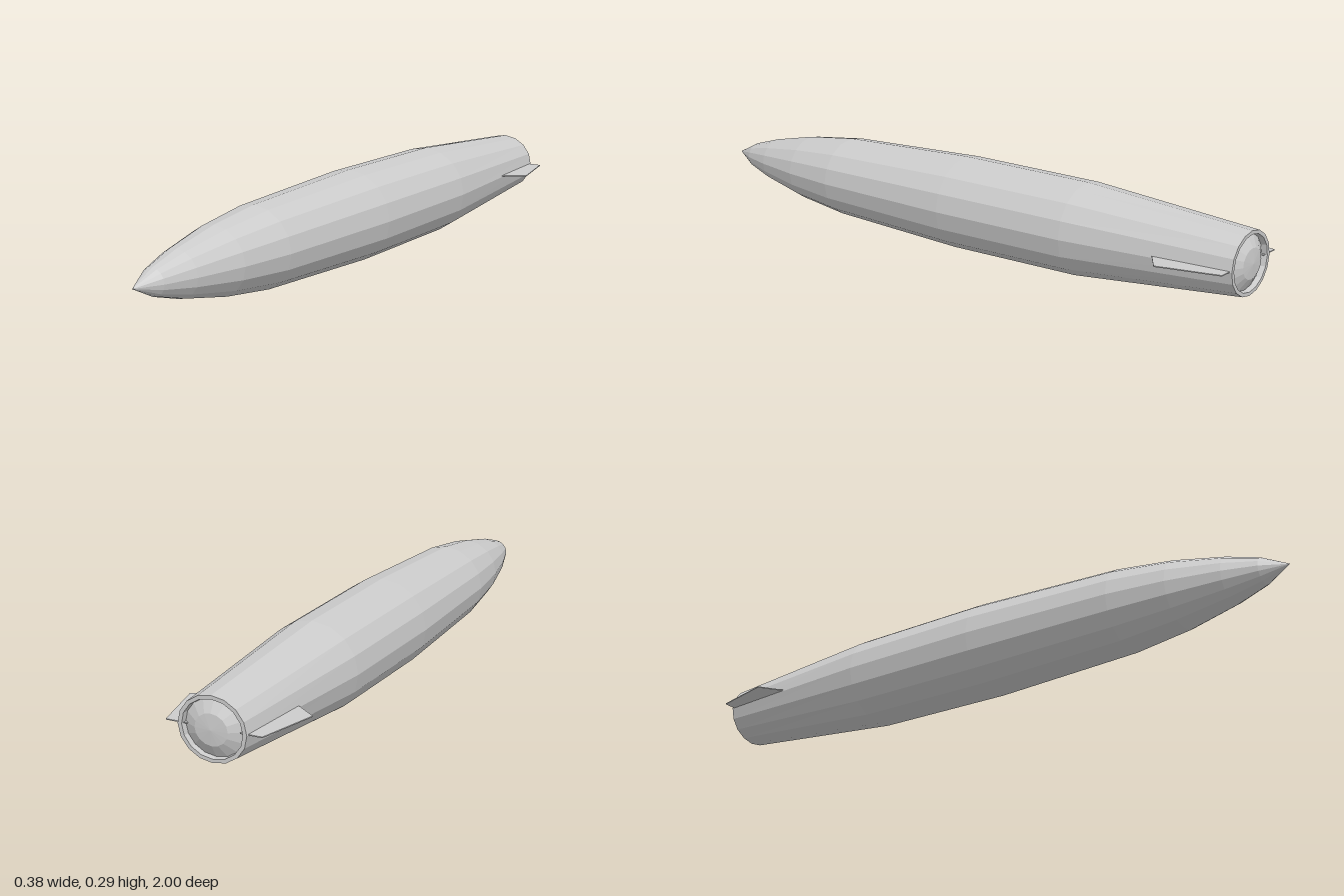
import * as THREE from 'three';

const SIDES = 16;
const material = new THREE.MeshStandardMaterial({ color: 0xcccccc, flatShading: true });
const finMaterial = new THREE.MeshStandardMaterial({ color: 0xcccccc, flatShading: true });

// Sixteen-sided lathe laid along z, slightly flattened, more so toward the tail
function hullPart(name, profile) {
  const points = profile.map(([r, z]) => new THREE.Vector2(r, z));
  const geometry = new THREE.LatheGeometry(points, SIDES).rotateX(Math.PI / 2);
  const pos = geometry.attributes.position;
  for (let i = 0; i < pos.count; i++) {
    const tail = THREE.MathUtils.clamp((-0.45 - pos.getZ(i)) / 0.54, 0, 1);
    const flatten = 0.96 - 0.06 * tail;
    pos.setY(i, 0.146 + 0.005 * tail + pos.getY(i) * flatten);
  }
  geometry.computeVertexNormals();
  const mesh = new THREE.Mesh(geometry, material);
  mesh.name = name;
  return mesh;
}

// Thin swept plate on one side of the tail
function tailFin(name, side) {
  const outline = [[0.08, -0.72], [0.113, -0.745], [0.19, -0.80], [0.145, -0.985], [0.08, -0.985]];
  const shape = new THREE.Shape(outline.map(([x, z]) => new THREE.Vector2(side * x, -z)));
  const geometry = new THREE.ExtrudeGeometry(shape, { depth: 0.003, bevelEnabled: false });
  geometry.rotateX(-Math.PI / 2).translate(0, 0.1505, 0);
  const mesh = new THREE.Mesh(geometry, finMaterial);
  mesh.name = name;
  return mesh;
}

export function createModel() {
  const model = new THREE.Group();
  model.name = 'projectile';

  // Tapered body from tail to pointed nose
  model.add(hullPart('body', [
    [0.104, -0.992], [0.146, -0.45], [0.15, 0], [0.131, 0.48],
    [0.108, 0.66], [0.073, 0.82], [0.042, 0.92], [0, 1],
  ]));

  // Tail rim and the recess wall inside it
  model.add(hullPart('tailRim', [[0.09, -0.975], [0.092, -0.992], [0.104, -0.992]]));

  // Shallow domed cap closing the tail
  model.add(hullPart('tailCap', [[0, -1], [0.05, -0.996], [0.09, -0.975]]));

  model.add(tailFin('leftFin', 1), tailFin('rightFin', -1));
  return model;
}
